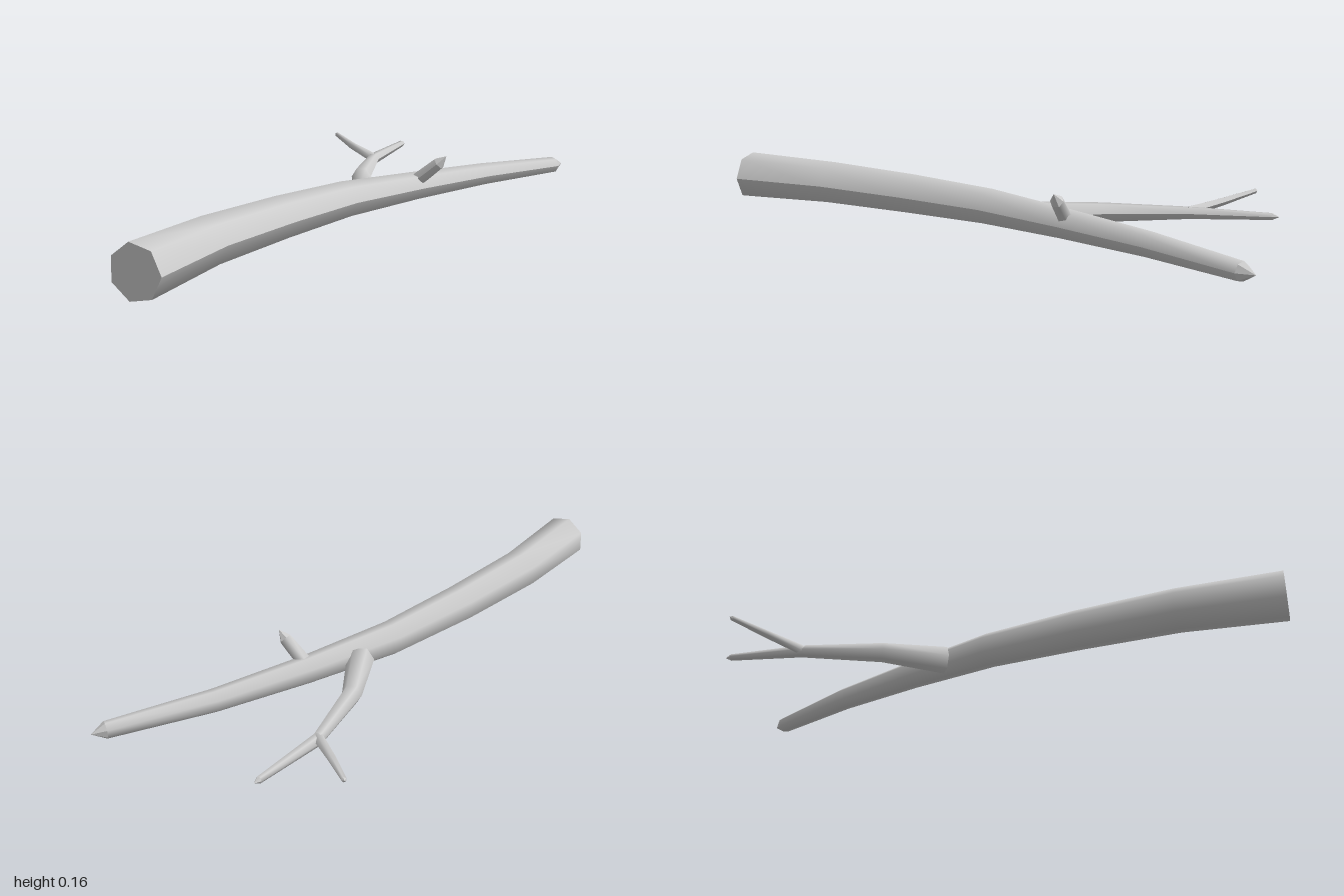
import * as THREE from 'three';

const material = new THREE.MeshStandardMaterial({ color: 0xcccccc });

// Tapered limb: rings = [x, y, z, radius], smooth bark, flat base and pointed tip
function limb(name, rings, tip, sides) {
  const centres = rings.map(([x, y, z]) => new THREE.Vector3(x, y, z));
  const end = new THREE.Vector3(...tip);
  const up = new THREE.Vector3(0, 1, 0);
  const last = rings.length - 1;

  const loops = rings.map((ring, i) => {
    const before = centres[Math.max(i - 1, 0)];
    const after = centres[Math.min(i + 1, last)];
    const t = after.clone().sub(before).normalize();
    const u = t.clone().cross(up).normalize();
    const v = u.clone().cross(t);
    return Array.from({ length: sides + 1 }, (_, j) => {
      const a = (j / sides) * Math.PI * 2;
      return centres[i].clone()
        .addScaledVector(u, Math.cos(a) * ring[3])
        .addScaledVector(v, Math.sin(a) * ring[3]);
    });
  });

  // Bark
  const index = [];
  const w = sides + 1;
  for (let i = 0; i < last; i++) {
    for (let j = 0; j < sides; j++) {
      const a = i * w + j, b = a + w;
      index.push(a, b, a + 1, a + 1, b, b + 1);
    }
  }
  const bark = new THREE.BufferGeometry().setFromPoints(loops.flat());
  bark.setIndex(index);
  bark.computeVertexNormals();

  // Cut base and tip, with their own hard edges
  const ends = [];
  for (let j = 0; j < sides; j++) {
    ends.push(centres[0], loops[0][j], loops[0][j + 1]);
    ends.push(end, loops[last][j + 1], loops[last][j]);
  }
  const caps = new THREE.BufferGeometry().setFromPoints(ends);
  caps.computeVertexNormals();

  const group = new THREE.Group();
  group.name = name;
  const barkMesh = new THREE.Mesh(bark, material);
  barkMesh.name = name + 'Bark';
  const capMesh = new THREE.Mesh(caps, material);
  capMesh.name = name + 'Ends';
  group.add(barkMesh, capMesh);
  return group;
}

export function createModel() {
  const model = new THREE.Group();
  model.name = 'branch';

  // Long bowed main branch
  model.add(limb('mainBranch', [
    [-0.98, 0.085, 0.325, 0.08],
    [-0.66, 0.08, 0.239, 0.072],
    [-0.335, 0.073, 0.195, 0.066],
    [-0.02, 0.066, 0.172, 0.058],
    [0.3, 0.057, 0.198, 0.047],
    [0.62, 0.049, 0.242, 0.038],
    [0.95, 0.041, 0.322, 0.028],
  ], [0.995, 0.04, 0.33], 7));

  // Forked offshoot towards the back
  model.add(limb('sideBranch', [
    [0.13, 0.055, 0.145, 0.045],
    [0.28, 0.059, -0.01, 0.032],
    [0.51, 0.064, -0.148, 0.02],
    [0.755, 0.073, -0.214, 0.011],
  ], [0.775, 0.073, -0.219], 6));

  // Thin twig at the fork
  model.add(limb('twig', [
    [0.505, 0.068, -0.145, 0.017],
    [0.55, 0.085, -0.28, 0.013],
    [0.597, 0.106, -0.4, 0.008],
  ], [0.6, 0.108, -0.407], 5));

  // Short snapped stub on the front
  model.add(limb('stub', [
    [0.302, 0.075, 0.205, 0.025],
    [0.325, 0.142, 0.28, 0.021],
  ], [0.332, 0.168, 0.305], 6));

  return model;
}
